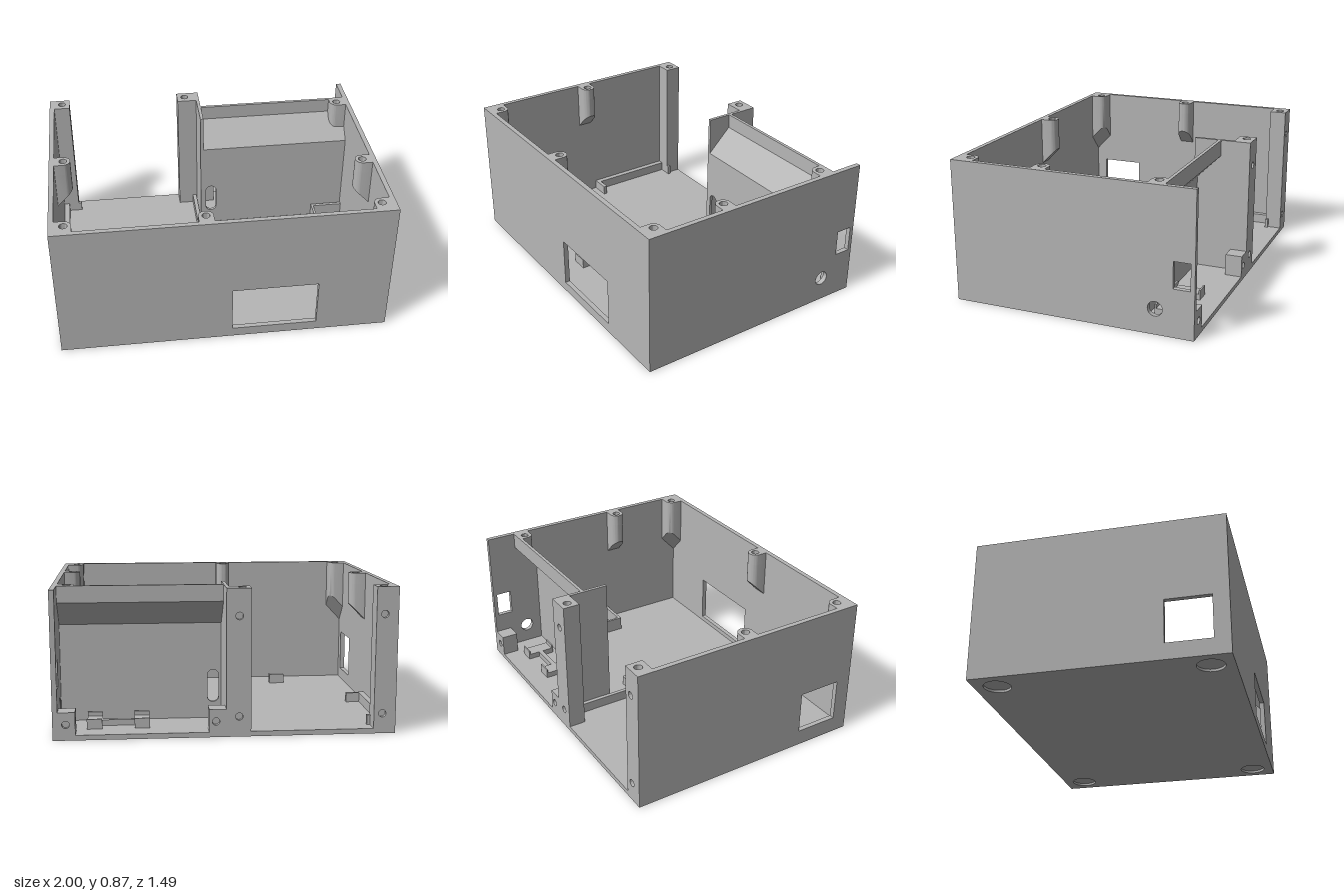
import * as THREE from 'three';
import { toCreasedNormals } from 'three/addons/utils/BufferGeometryUtils.js';

const W = 1, D = 0.745, H = 0.87, T = 0.03, FLOOR = 0.03;

export function createModel() {
  const model = new THREE.Group();
  model.name = 'enclosureBase';
  const grey = new THREE.MeshStandardMaterial({ color: 0xb6b6b6 });
  grey.name = 'grey plastic';

  const add = (name, geo) => {
    const mesh = new THREE.Mesh(geo, grey);
    mesh.name = name;
    model.add(mesh);
    return mesh;
  };
  // box given by its limits
  const box = (name, x0, x1, y0, y1, z0, z1) =>
    add(name, new THREE.BoxGeometry(x1 - x0, y1 - y0, z1 - z0)
      .translate((x0 + x1) / 2, (y0 + y1) / 2, (z0 + z1) / 2));
  const path = (pts, P = THREE.Shape) => new P(pts.map(p => new THREE.Vector2(...p)));
  const rect = (a0, a1, b0, b1, P) => path([[a0, b0], [a1, b0], [a1, b1], [a0, b1]], P);
  const rectHole = (...a) => rect(...a, THREE.Path);
  const circle = (a, b, r) => new THREE.Path().absarc(a, b, r, 0, Math.PI * 2, false);
  const extrude = (shape, depth, holes = []) => {
    shape.holes.push(...holes);
    return toCreasedNormals(new THREE.ExtrudeGeometry(shape,
      { depth, bevelEnabled: false, curveSegments: 16 }), 0.6);
  };
  // plates facing z, x and y; each takes a start and end along its axis
  const plateZ = (name, shape, z0, z1, holes) =>
    add(name, extrude(shape, z1 - z0, holes).translate(0, 0, z0));
  const plateX = (name, shape, x0, x1, holes) =>
    add(name, extrude(shape, x1 - x0, holes).rotateY(-Math.PI / 2).translate(x1, 0, 0));
  const plateY = (name, shape, y0, y1, holes) =>
    add(name, extrude(shape, y1 - y0, holes).rotateX(Math.PI / 2).translate(0, y1, 0));

  // floor with four shallow foot recesses underneath
  const feet = [];
  for (const x of [-0.87, 0.87]) for (const z of [-0.61, 0.61]) feet.push(circle(x, z, 0.08));
  plateY('floorUnderside', rect(-W, W, -D, D), 0, 0.015, feet);
  box('floor', -W, W, 0.015, FLOOR, -D, D);

  // outer walls with their openings
  plateZ('frontWall', rect(-W, W, FLOOR, H), D - T, D, [rectHole(0.04, 0.56, 0.06, 0.36)]);
  plateX('leftWall', rect(-D, D - T, FLOOR, H), W - T, W,
    [rectHole(-0.72, -0.62, 0.29, 0.45), circle(-0.515, 0.155, 0.044)]);
  plateX('rightWall', rect(-D, D - T, FLOOR, H), -W, -W + T, [rectHole(0.38, 0.65, 0.10, 0.365)]);

  // rear columns: screw holes in the back face and in the top
  for (const [x0, x1, hx, side] of [[-0.97, -0.87, -0.92, 'corner'], [-0.145, -0.02, -0.095, 'middle']]) {
    const sx = side === 'corner' ? hx : -0.075;
    plateZ(side + 'ColumnBack', rect(x0, x1, FLOOR, H), -D, -0.725,
      [circle(sx, 0.12, 0.022), circle(sx, 0.71, 0.022)]);
    box(side + 'Column', x0, x1, FLOOR, 0.8, -0.725, -0.64);
    plateY(side + 'ColumnTop', rect(x0, x1, -0.725, -0.64), 0.8, H, [circle(hx, -0.695, 0.024)]);
  }
  // low screw blocks at the back
  for (const [x0, x1, hx] of [[0, 0.1, 0.06], [0.87, 0.97, 0.925]]) {
    plateZ('screwBlockBack', rect(x0, x1, FLOOR, 0.165), -D, -0.72, [circle(hx, 0.093, 0.022)]);
    box('screwBlock', x0, x1, FLOOR, 0.165, -0.72, -0.64);
  }

  // inner compartment: side panel, stepped partition and cable slot
  box('compartmentSide', -0.02, 0, FLOOR, H, -D, -0.39);
  plateX('partitionUpper', path([[-0.56, H], [-0.56, 0.77], [-0.41, 0.62], [-0.41, 0.58],
    [-0.39, 0.58], [-0.39, 0.63], [-0.54, 0.78], [-0.54, H]]), 0, 0.97);
  const slot = new THREE.Path();
  slot.absarc(0.05, 0.295, 0.035, 0, Math.PI, false);
  slot.absarc(0.05, 0.165, 0.035, Math.PI, Math.PI * 2, false);
  slot.closePath();
  plateZ('partitionLower', rect(0, 0.97, FLOOR, 0.58), -0.41, -0.39, [slot]);

  // lid bosses: drilled top, and a lower part whose underside slopes to the wall
  const R = 0.045;
  const boss = (x, z, turn, corner, d, underside) => {
    const outline = () => {
      const s = new THREE.Shape();
      s.moveTo(-R, d);
      s.lineTo(-R, 0);
      s.absarc(0, 0, R, Math.PI, Math.PI * (corner ? 1.5 : 2), false);
      if (corner) s.lineTo(d, -R);
      s.lineTo(corner ? d : R, d);
      return s;
    };
    const top = plateY('bossTop', outline(), 0.8, H, [circle(0, 0, 0.024)]);
    const low = plateY('bossLower', outline(), 0.5, 0.8);
    const p = low.geometry.attributes.position;
    for (let i = 0; i < p.count; i++)
      if (p.getY(i) < 0.6) p.setY(i, underside(p.getX(i), p.getZ(i)));
    low.geometry = toCreasedNormals(low.geometry, 0.6);
    for (const m of [top, low]) {
      m.rotation.y = turn;
      m.position.set(x, 0, z);
    }
  };
  const E = 0.055, Q = Math.PI / 2;
  const toWall = (x, z) => 0.57 + (E - z);
  const toCorner = (x, z) => 0.45 + 1.06 * (2 * E - x - z);
  boss(0.915, 0.66, 0, true, E, toCorner);
  boss(-0.915, 0.66, -Q, true, E, toCorner);
  boss(-0.11, 0.66, 0, false, E, toWall);
  boss(0.915, 0.2, Q, false, E, toWall);
  boss(-0.915, 0, -Q, false, E, toWall);
  boss(0.915, -0.505, Q, true, E, x => 0.735 + Math.min(x, 0.035));

  // floor rails of the open bay
  const RAIL = 0.09;
  box('wallRail', -0.97, -0.935, FLOOR, RAIL, -0.64, -0.07);
  box('wallRailEnd', -0.935, -0.85, FLOOR, RAIL, -0.095, -0.07);
  box('wallRailStop', -0.87, -0.85, FLOOR, RAIL, -0.66, -0.64);
  box('innerRail', -0.05, -0.025, FLOOR, RAIL, -0.64, -0.07);
  box('innerRailEnd', -0.135, -0.05, FLOOR, RAIL, -0.095, -0.07);

  // three-sided holder against the left wall
  box('holderRail', 0.76, 0.775, FLOOR, 0.12, -0.38, 0.135);
  box('holderEnd', 0.775, 0.97, FLOOR, 0.12, -0.38, -0.36);
  box('holderEnd', 0.775, 0.97, FLOOR, 0.12, 0.115, 0.135);

  // small floor stops
  box('floorStop', 0.06, 0.11, FLOOR, 0.09, -0.22, -0.12);
  for (const x of [-0.53, -0.18]) box('floorStop', x, x + 0.1, FLOOR, 0.09, 0.5, 0.55);

  // cradle in the compartment: two lipped seats joined by a bar
  for (const x of [0.44, 0.72]) {
    box('cradleSeat', x, x + 0.09, FLOOR, 0.065, -0.61, -0.45);
    box('cradleLip', x, x + 0.09, FLOOR, 0.09, -0.62, -0.61);
    box('cradleLip', x, x + 0.09, FLOOR, 0.09, -0.45, -0.44);
  }
  box('cradleBar', 0.53, 0.72, FLOOR, 0.065, -0.545, -0.515);

  return model;
}
